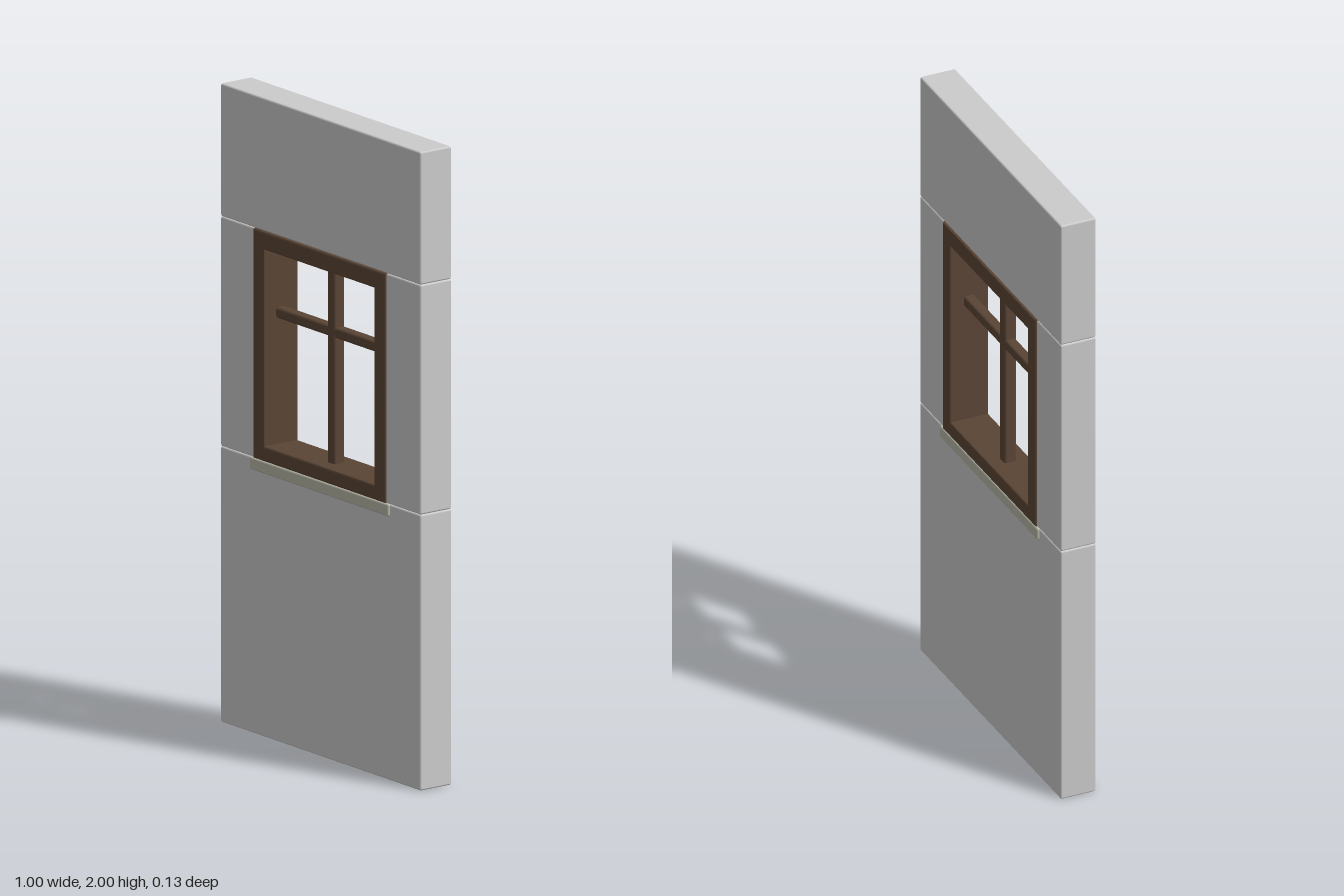
import * as THREE from 'three';
import { RoundedBoxGeometry } from 'three/addons/geometries/RoundedBoxGeometry.js';

const wallMat = new THREE.MeshStandardMaterial({ color: 0xcccccc });
const woodMat = new THREE.MeshStandardMaterial({ color: 0x5a4535 });
const sillMat = new THREE.MeshStandardMaterial({ color: 0xb9b9aa });

// Soft-edged block spanning x0..x1, y0..y1, centred on z = 0
function block(name, x0, x1, y0, y1, depth, bevel, material) {
  const geometry = new RoundedBoxGeometry(x1 - x0, y1 - y0, depth, 2, bevel);
  const mesh = new THREE.Mesh(geometry, material);
  mesh.position.set((x0 + x1) / 2, (y0 + y1) / 2, 0);
  mesh.name = name;
  return mesh;
}

function rectangle(path, x0, x1, y0, y1) {
  path.moveTo(x0, y0);
  path.lineTo(x1, y0);
  path.lineTo(x1, y1);
  path.lineTo(x0, y1);
  path.closePath();
  return path;
}

export function createModel() {
  const model = new THREE.Group();
  model.name = 'wallWithWindow';

  // Wall panels around the opening
  const wall = new THREE.Group();
  wall.name = 'wall';
  const depth = 0.118, edge = 0.006, low = 0.864, high = 1.584;
  wall.add(block('lowerWall', -0.5, 0.5, 0, low, depth, edge, wallMat));
  wall.add(block('upperWall', -0.5, 0.5, high, 2, depth, edge, wallMat));
  wall.add(block('leftWall', 0.325, 0.5, low, high, depth, edge, wallMat));
  wall.add(block('rightWall', -0.5, -0.325, low, high, depth, edge, wallMat));
  model.add(wall);

  // Frame with bevelled outer and inner edges
  const windowGroup = new THREE.Group();
  windowGroup.name = 'window';
  const outline = rectangle(new THREE.Shape(), -0.33, 0.33, low, high);
  outline.holes.push(rectangle(new THREE.Path(), -0.275, 0.275, 0.912, 1.527));
  const bevel = 0.006, frameDepth = 0.13;
  const frameGeometry = new THREE.ExtrudeGeometry(outline, {
    depth: frameDepth - 2 * bevel,
    bevelEnabled: true,
    bevelThickness: bevel,
    bevelSize: bevel,
    bevelOffset: -bevel,
    bevelSegments: 2,
  });
  frameGeometry.translate(0, 0, bevel - frameDepth / 2);
  const frame = new THREE.Mesh(frameGeometry, woodMat);
  frame.name = 'windowFrame';
  windowGroup.add(frame);

  // Crossing glazing bars, let into the frame
  windowGroup.add(block('verticalBar', -0.02, 0.02, 0.9, 1.54, 0.04, 0.008, woodMat));
  windowGroup.add(block('horizontalBar', -0.285, 0.285, 1.306, 1.34, 0.036, 0.008, woodMat));

  // Sill showing on both faces of the wall
  windowGroup.add(block('sill', -0.347, 0.347, 0.826, 0.865, 0.132, 0.006, sillMat));
  model.add(windowGroup);

  return model;
}
